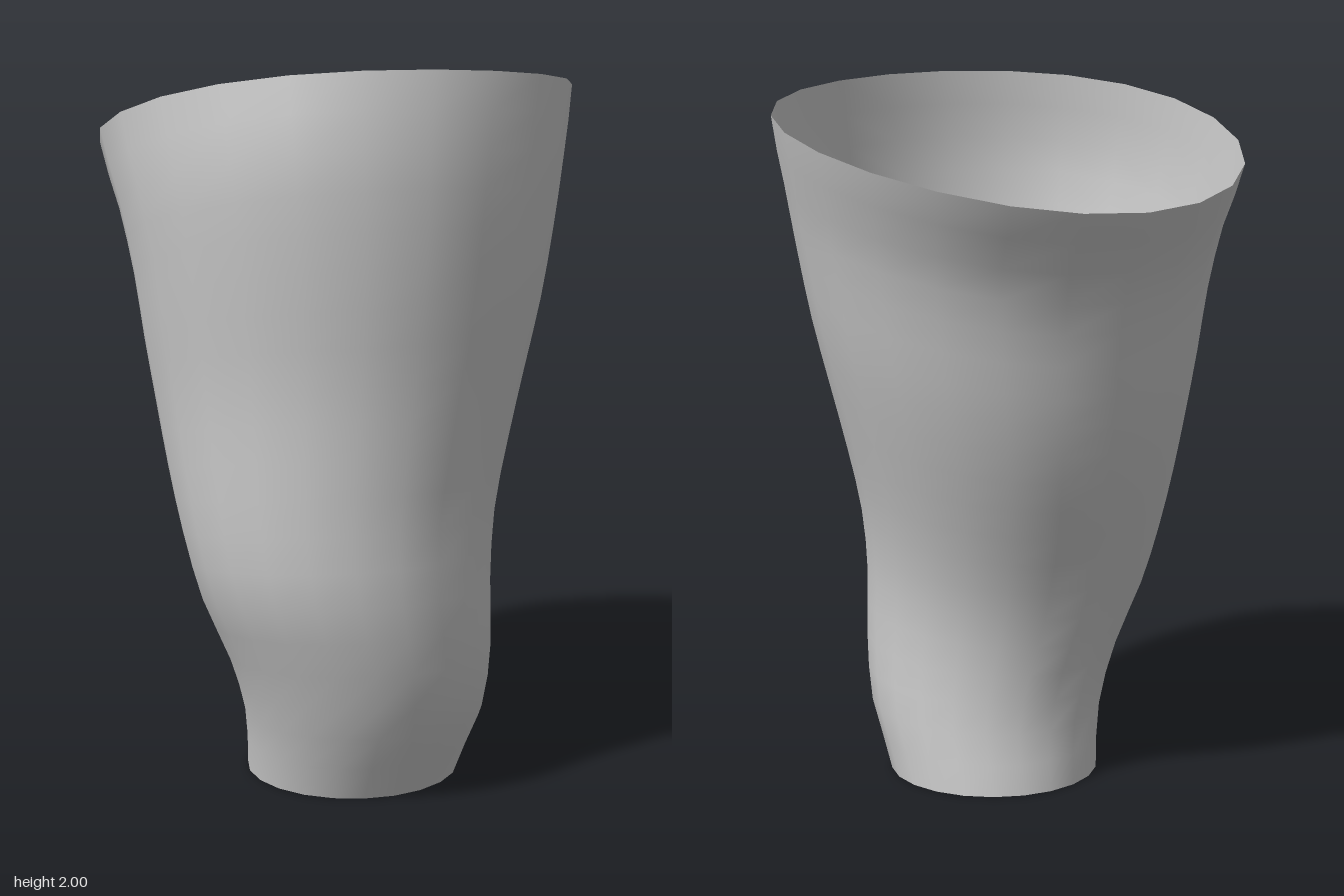
import * as THREE from 'three';

const SIDES = 22, ROWS = 20;

// Offset of each side of the sleeve, sampled evenly from base to rim
const profiles = {
  left: [0.28, 0.29, 0.285, 0.29, 0.325, 0.38, 0.44, 0.495, 0.54, 0.59, 0.655],
  right: [-0.325, -0.38, -0.45, -0.53, -0.56, -0.572, -0.585, -0.61, -0.635, -0.655, -0.65],
  front: [0.39, 0.49, 0.54, 0.55, 0.55, 0.57, 0.595, 0.625, 0.645, 0.655, 0.65],
  back: [-0.21, -0.185, -0.2, -0.245, -0.305, -0.37, -0.425, -0.465, -0.495, -0.55, -0.655],
};

// Smooth curve through a profile; its y is the side offset at t
const toCurve = (values) => new THREE.SplineCurve(
  values.map((v, i) => new THREE.Vector2(i / (values.length - 1), v)));

// Height of the slanted, slightly saddled rim at an angle
const rimHeight = (a) =>
  1.855 + 0.15 * Math.sin(a) - 0.05 * Math.cos(a) + 0.02 * Math.cos(2 * a);

function sleeveGeometry() {
  const curves = {};
  for (const side in profiles) curves[side] = toCurve(profiles[side]);
  const positions = [], indices = [];

  // Rings: level at the base, tilting more and more towards the rim
  for (let r = 0; r <= ROWS; r++) {
    const t = r / ROWS;
    const at = (side) => curves[side].getPoint(t).y;
    const [x0, x1, z0, z1] = [at('right'), at('left'), at('back'), at('front')];
    for (let s = 0; s < SIDES; s++) {
      const a = (s / SIDES) * Math.PI * 2;
      positions.push(
        (x0 + x1) / 2 + ((x1 - x0) / 2) * Math.cos(a),
        t * rimHeight(a),
        (z0 + z1) / 2 + ((z1 - z0) / 2) * Math.sin(a));
    }
  }

  // Join neighbouring rings, wrapping round without a seam
  for (let r = 0; r < ROWS; r++) {
    for (let s = 0; s < SIDES; s++) {
      const n = (s + 1) % SIDES;
      const a = r * SIDES + s, b = r * SIDES + n;
      indices.push(a, a + SIDES, b, b, a + SIDES, b + SIDES);
    }
  }

  const geometry = new THREE.BufferGeometry();
  geometry.setAttribute('position', new THREE.Float32BufferAttribute(positions, 3));
  geometry.setIndex(indices);
  geometry.computeVertexNormals();
  return geometry;
}

export function createModel() {
  const group = new THREE.Group();
  group.name = 'openSleeve';

  // Thin tube, open at both ends
  const material = new THREE.MeshStandardMaterial({ color: 0xcccccc, side: THREE.DoubleSide });
  const sleeve = new THREE.Mesh(sleeveGeometry(), material);
  sleeve.name = 'sleeveWall';
  group.add(sleeve);
  return group;
}
